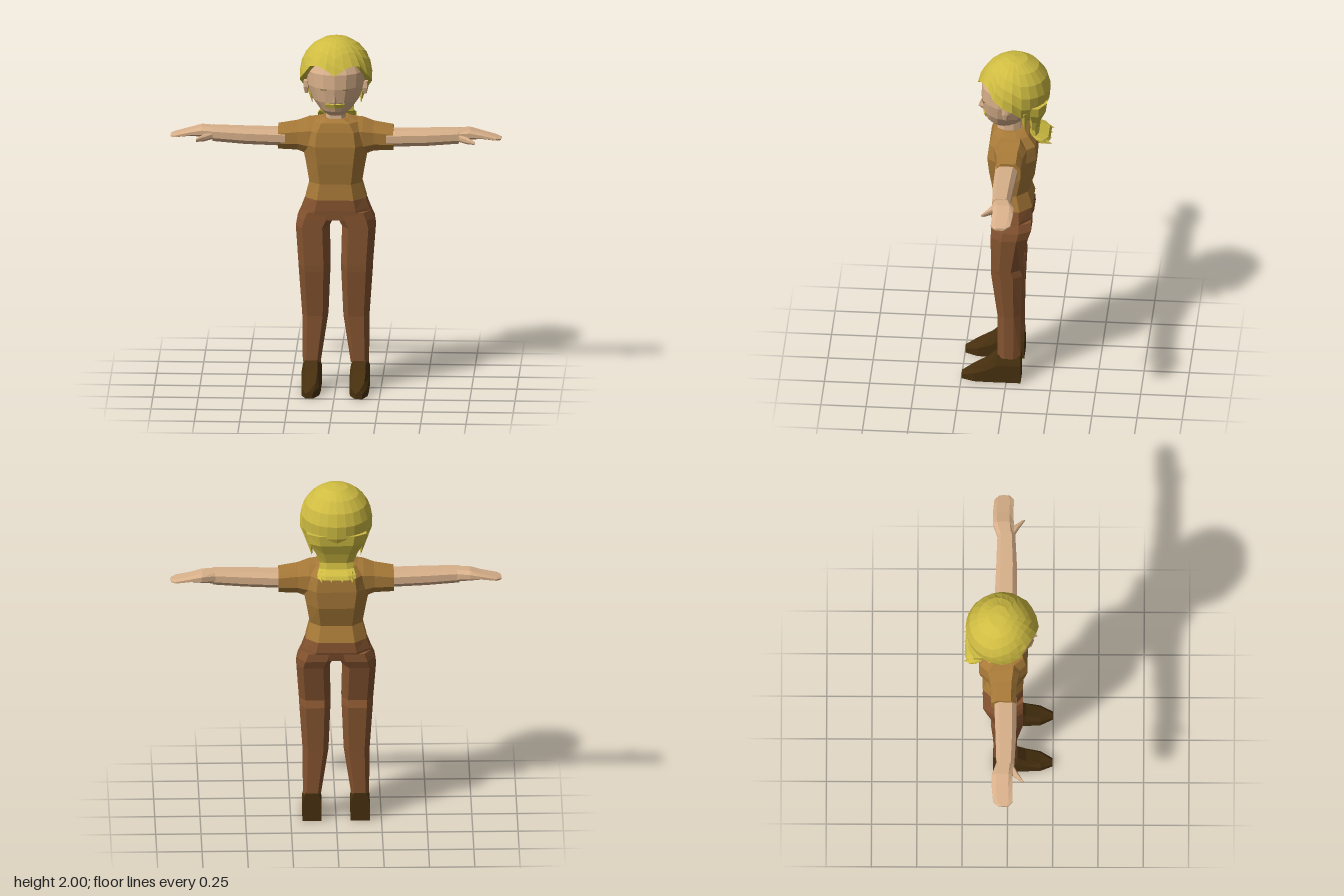
import * as THREE from 'three';

const mat = (name, color, flatShading = true) => {
  const m = new THREE.MeshStandardMaterial({ color, flatShading });
  m.name = name;
  return m;
};

// Closed skin over a list of rings (equal point counts), capped at both ends and turned outward.
function loft(rings) {
  const tris = [], n = rings[0].length;
  const mid = r => r.reduce((a, p) => a.add(p), new THREE.Vector3()).divideScalar(n);
  const first = rings[0], last = rings[rings.length - 1];
  const c0 = mid(first), c1 = mid(last);
  for (let j = 0; j < n; j++) {
    const k = (j + 1) % n;
    tris.push([c0, first[k], first[j]], [c1, last[j], last[k]]);
    for (let i = 0; i < rings.length - 1; i++) {
      const a = rings[i], b = rings[i + 1];
      tris.push([a[j], a[k], b[k]], [a[j], b[k], b[j]]);
    }
  }
  let volume = 0;
  for (const [a, b, c] of tris) {
    volume += a.clone().sub(c0).dot(b.clone().sub(c0).cross(c.clone().sub(c0)));
  }
  const pos = [];
  for (const [a, b, c] of tris) {
    const area = b.clone().sub(a).cross(c.clone().sub(a)).length();
    if (area < 1e-9) continue;
    for (const p of volume < 0 ? [a, c, b] : [a, b, c]) pos.push(p.x, p.y, p.z);
  }
  const g = new THREE.BufferGeometry();
  g.setAttribute('position', new THREE.Float32BufferAttribute(pos, 3));
  g.computeVertexNormals();
  return g;
}

// Octagon between u0..u1 and v0..v1; cu, cv are the corner positions from the centre.
function octagon(u0, u1, v0, v1, cu = 0.6, cv = 0.4) {
  const u = (u0 + u1) / 2, v = (v0 + v1) / 2, du = (u1 - u0) / 2, dv = (v1 - v0) / 2;
  return [[cu, 1], [1, cv], [1, -cv], [cu, -1], [-cu, -1], [-1, -cv], [-1, cv], [-cu, 1]]
    .map(([a, b]) => [u + a * du, v + b * dv]);
}
const V = (x, y, z) => new THREE.Vector3(x, y, z);
// Upright part: rows of [y, x0, x1, zBack, zFront]
const upright = rows => loft(rows.map(([y, x0, x1, zb, zf]) =>
  octagon(x0, x1, zb, zf).map(([x, z]) => V(x, y, z))));
// Sideways part: rows of [x, yTop, yBottom, zFront, zBack], s = side
const sideways = (rows, s) => loft(rows.map(([x, yt, yb, zf, zb]) =>
  octagon(yb, yt, zb, zf, 0.45, 0.6).map(([y, z]) => V(s * x, y, z))));

export function createModel() {
  const root = new THREE.Group();
  root.name = 'person';
  const skin = mat('skin', 0xd8b08a), hair = mat('hair', 0xcfbc42), shirt = mat('shirt', 0xa87a38);
  const trousers = mat('trousers', 0x84532f), leather = mat('shoe', 0x47300f), eyeMat = mat('eye', 0x8f7548);
  const add = (name, geo, m, parent = root) => {
    const mesh = new THREE.Mesh(geo, m);
    mesh.name = name;
    parent.add(mesh);
    return mesh;
  };

  // Shirt body
  add('shirtBody', upright([
    [1.09, 0.168, -0.14, 0.085], [1.18, 0.145, -0.112, 0.08], [1.3, 0.165, -0.152, 0.1],
    [1.4, 0.185, -0.16, 0.11], [1.48, 0.17, -0.155, 0.1], [1.53, 0.13, -0.115, 0.085],
    [1.55, 0.07, -0.09, 0.065],
  ].map(([y, w, zb, zf]) => [y, -w, w, zb, zf])), shirt);

  // Hips
  add('hips', upright([
    [0.975, 0.205, -0.125, 0.082], [1.03, 0.188, -0.138, 0.085], [1.1, 0.162, -0.13, 0.082],
  ].map(([y, w, zb, zf]) => [y, -w, w, zb, zf])), trousers);

  for (const s of [1, -1]) {
    const side = s > 0 ? 'left' : 'right';
    // Leg and shoe
    add(side + 'Leg', upright([
      [1.02, 0, 0.192, -0.135, 0.083], [0.975, 0.012, 0.212, -0.137, 0.085],
      [0.93, 0.035, 0.22, -0.12, 0.085], [0.72, 0.03, 0.205, -0.075, 0.085],
      [0.68, 0.031, 0.203, -0.092, 0.083], [0.42, 0.042, 0.185, -0.08, 0.05],
      [0.15, 0.083, 0.182, -0.078, 0.05],
    ].map(([y, a, b, zb, zf]) => [y, Math.min(s * a, s * b), Math.max(s * a, s * b), zb, zf])), trousers);
    add(side + 'Shoe', loft([
      [-0.08, 0.08, 0.186, 0.165], [0.053, 0.08, 0.186, 0.165], [0.1, 0.08, 0.186, 0.12],
      [0.18, 0.085, 0.183, 0.075], [0.248, 0.118, 0.156, 0.042],
    ].map(([z, a, b, h]) => [[a, 0], [b, 0], [b, h * 0.65], [b - 0.018, h], [a + 0.018, h], [a, h * 0.65]]
      .map(([x, y]) => V(s * x, y, z)))), leather);
    // Sleeve, forearm, hand and thumb
    add(side + 'Sleeve', sideways([
      [0.08, 1.538, 1.33, 0.075, -0.11], [0.15, 1.53, 1.34, 0.065, -0.11],
      [0.21, 1.51, 1.362, 0.05, -0.095], [0.318, 1.492, 1.366, 0.045, -0.09],
    ], s), shirt);
    add(side + 'Arm', sideways([
      [0.28, 1.475, 1.385, 0.05, -0.075], [0.5, 1.48, 1.392, 0.048, -0.066],
      [0.68, 1.485, 1.405, 0.038, -0.06],
    ], s), skin);
    add(side + 'Hand', sideways([
      [0.66, 1.482, 1.41, 0.034, -0.058], [0.74, 1.482, 1.425, 0.03, -0.086],
      [0.8, 1.465, 1.43, 0.028, -0.086], [0.885, 1.443, 1.422, 0.03, -0.078],
      [0.912, 1.436, 1.422, 0.008, -0.05],
    ], s), skin);
    add(side + 'Thumb', sideways([
      [0.67, 1.46, 1.42, 0.03, -0.005], [0.725, 1.448, 1.412, 0.062, 0.02],
      [0.768, 1.435, 1.418, 0.092, 0.078],
    ], s), skin);
    // Ear
    add(side + 'Ear', upright([
      [1.685, -0.008, 0.008, -0.005, 0.015], [1.72, -0.016, 0.016, -0.02, 0.025],
      [1.755, -0.014, 0.014, -0.025, 0.022],
    ]), skin).position.x = s * 0.163;
    // Thin eye and half of the mouth
    const eye = add(side + 'Eye', new THREE.BoxGeometry(0.034, 0.007, 0.008), eyeMat);
    eye.position.set(s * 0.061, 1.736, 0.135);
    eye.rotation.y = s * 0.35;
    const lip = add(side + 'MouthHalf', new THREE.BoxGeometry(0.054, 0.024, 0.008), hair);
    lip.position.set(s * 0.026, 1.643, 0.13);
    lip.rotation.set(0.4, s * 0.2, s * -0.08);
    // Lock hanging behind the ear
    const lock = add(side + 'Lock', new THREE.ConeGeometry(0.03, 0.13, 4), hair);
    lock.position.set(s * 0.142, 1.665, -0.1);
    lock.rotation.set(Math.PI, 0, s * 0.12);
  }

  // Neck
  add('neck', upright([[1.53, -0.056, 0.056, -0.07, 0.06], [1.63, -0.05, 0.05, -0.065, 0.055]]), skin);

  // Head: rows of [y, halfWidth, zBack, zFront]
  const N = 16;
  add('head', loft([
    [1.575, 0.05, -0.04, 0.085], [1.605, 0.088, -0.08, 0.117], [1.66, 0.13, -0.14, 0.138],
    [1.74, 0.16, -0.18, 0.15], [1.82, 0.168, -0.2, 0.147], [1.9, 0.13, -0.16, 0.1], [1.95, 0.05, -0.09, 0.03],
  ].map(([y, w, zb, zf]) => Array.from({ length: N }, (_, i) => {
    const a = i / N * Math.PI * 2;
    return V(w * Math.sin(a), y, (zf + zb) / 2 + (zf - zb) / 2 * Math.cos(a));
  }))), skin);
  add('nose', loft([
    [1.725, 0.005, 0.147], [1.672, 0.016, 0.167], [1.655, 0.014, 0.15],
  ].map(([y, w, z]) => [V(-w, y, 0.12), V(w, y, 0.12), V(0, y, z)])), skin);

  // Hair cap: dome whose lower edge follows the hairline, front to back in 15 degree steps
  const line = [1.822, 1.855, 1.872, 1.862, 1.805, 1.772, 1.745, 1.7, 1.69, 1.685, 1.68, 1.68, 1.68];
  const rows = 6, dome = [];
  for (let r = 0; r <= rows + 1; r++) {
    dome.push(Array.from({ length: 24 }, (_, i) => {
      const edge = Math.acos((line[i > 12 ? 24 - i : i] - 1.8) / 0.2);
      const t = edge * Math.min(r, rows) / rows, a = i * Math.PI / 12;
      const k = (r > rows ? 0.78 : r === rows ? 1.03 : 1) * 0.2 * Math.sin(t);
      return V(k * Math.sin(a), 1.8 + 0.2 * Math.cos(t), -0.034 + k * Math.cos(a));
    }));
  }
  add('hairCap', loft(dome), hair);

  // Hair at the nape, flipping outward at the end
  add('napeHair', upright([
    [1.76, 0.165, -0.22, -0.08], [1.7, 0.15, -0.212, -0.1], [1.64, 0.115, -0.185, -0.12],
    [1.58, 0.092, -0.165, -0.125], [1.545, 0.095, -0.172, -0.122], [1.525, 0.105, -0.225, -0.135],
    [1.505, 0.105, -0.235, -0.165],
  ].map(([y, w, zb, zf]) => [y, -w, w, zb, zf])), hair);
  for (const x of [-0.085, -0.03, 0.03, 0.085]) {
    const tip = add('hairTip', new THREE.ConeGeometry(0.025, 0.07, 4), hair);
    tip.position.set(x, 1.507, -0.213);
    tip.rotation.x = -Math.PI / 2 - 0.3;
  }
  return root;
}
